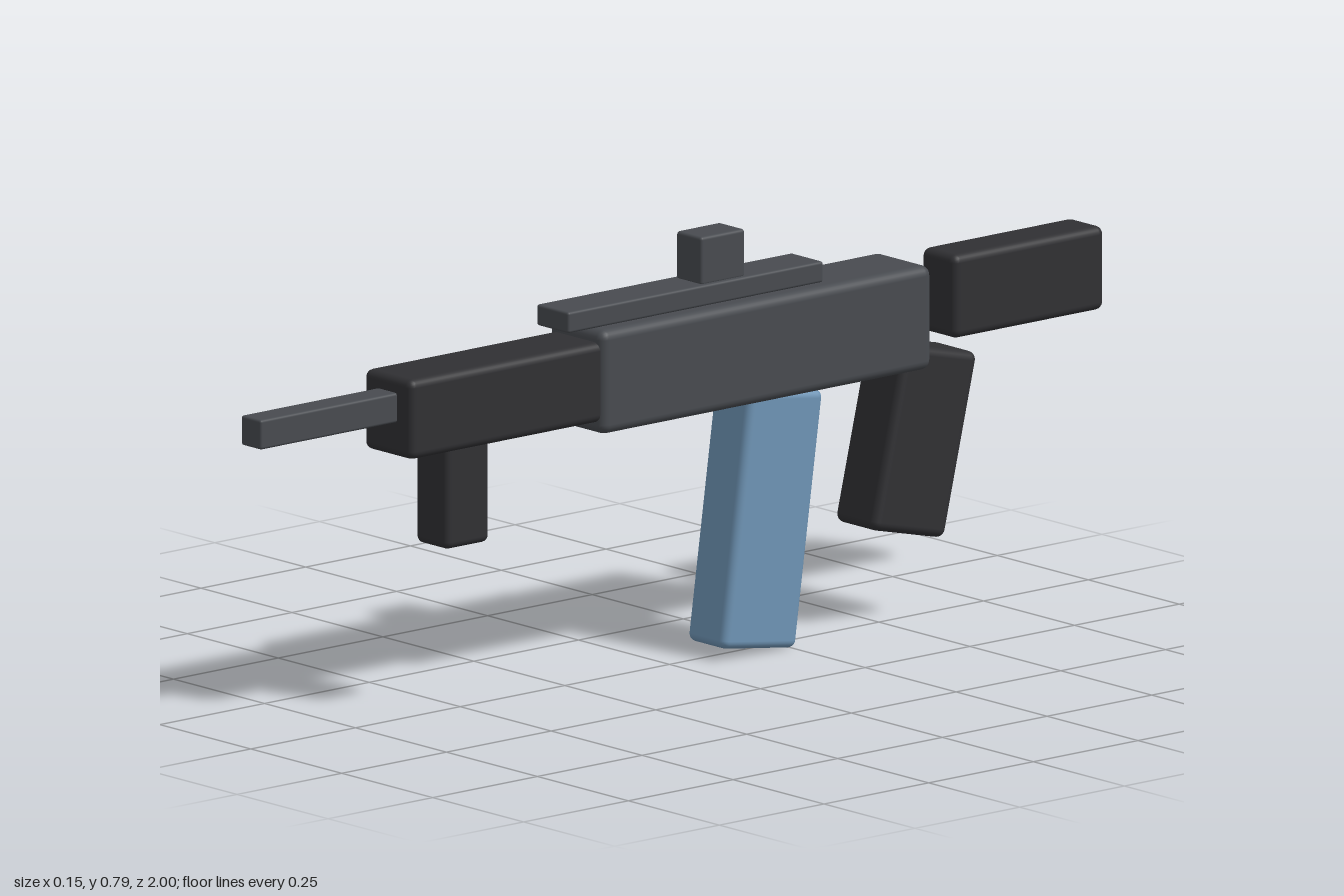
import * as THREE from 'three';
import { RoundedBoxGeometry } from 'three/addons/geometries/RoundedBoxGeometry.js';

export function createModel() {
  const model = new THREE.Group();
  const metal = new THREE.MeshStandardMaterial({ color: 0x484b50 });
  const polymer = new THREE.MeshStandardMaterial({ color: 0x303033 });
  const blue = new THREE.MeshStandardMaterial({ color: 0x6f95b6 });

  // Rounded block centred on x = 0, tilted about x
  function block(name, material, [width, height, depth], [y, z], radius, tilt = 0) {
    const mesh = new THREE.Mesh(new RoundedBoxGeometry(width, height, depth, 3, radius), material);
    mesh.name = name;
    mesh.position.set(0, y, z);
    mesh.rotation.x = tilt;
    model.add(mesh);
  }

  // Main body, front to back
  block('barrel', metal, [0.055, 0.055, 0.42], [0.587, 0.79], 0.005);
  block('handguard', polymer, [0.132, 0.148, 0.48], [0.569, 0.435], 0.015);
  block('receiver', metal, [0.15, 0.193, 0.79], [0.569, -0.17], 0.018);
  block('stock', polymer, [0.095, 0.155, 0.36], [0.588, -0.82], 0.015);

  // Top rail and sight
  block('topRail', metal, [0.088, 0.039, 0.61], [0.685, -0.025], 0.005);
  block('sight', metal, [0.07, 0.09, 0.105], [0.746, -0.098], 0.006);

  // Parts hanging below
  block('foregrip', polymer, [0.088, 0.2, 0.105], [0.409, 0.518], 0.013);
  block('magazine', blue, [0.106, 0.474, 0.178], [0.246, -0.205], 0.015, -0.14);
  block('rearGrip', polymer, [0.116, 0.342, 0.177], [0.335, -0.565], 0.016, -0.235);

  return model;
}
